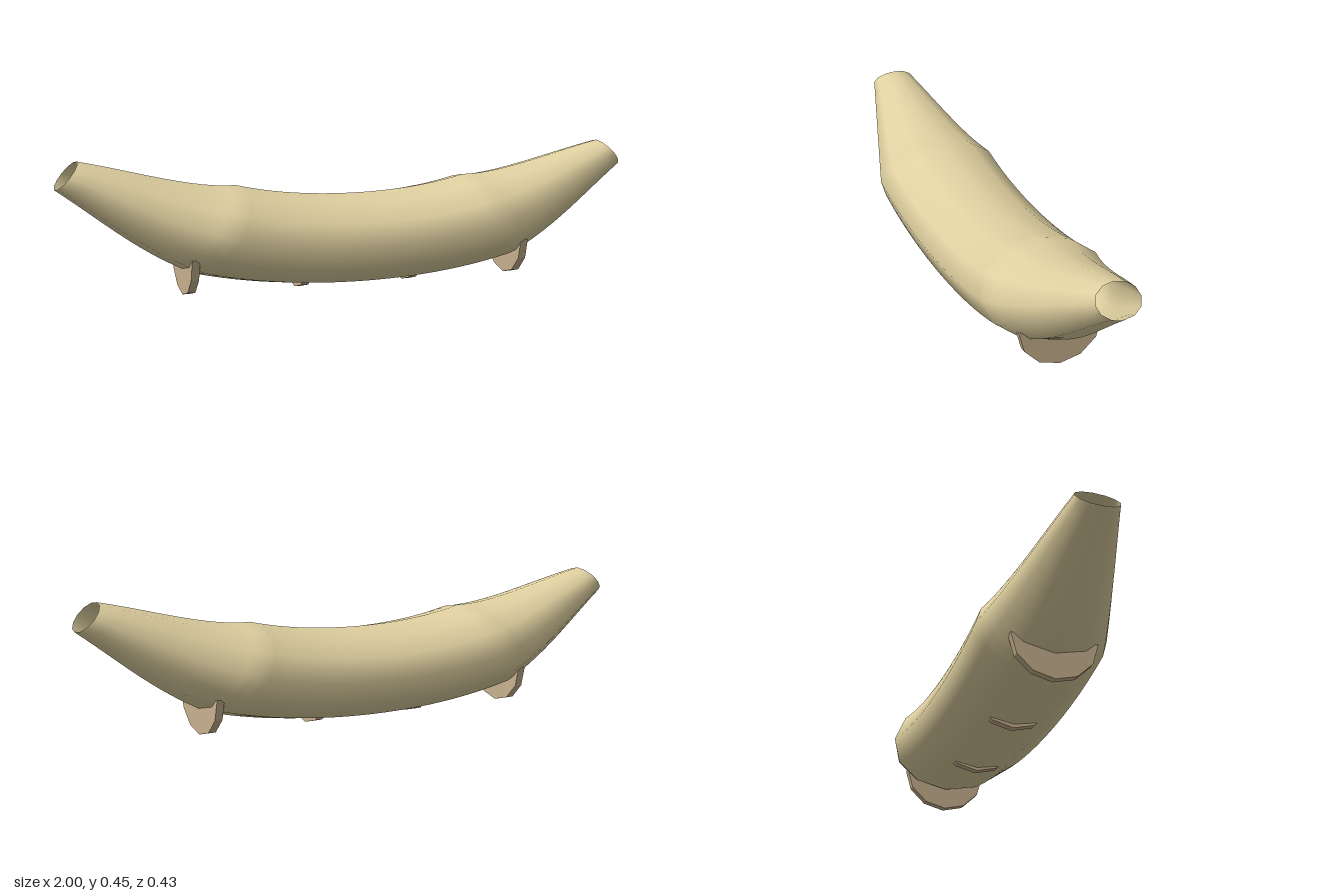
import * as THREE from 'three';

const SIDES = 12;
const STEPS = 48;
const FLATTEN = 0.7; // the whole hull is squashed vertically
const MID_Y = 0.157;

// Open curved tube: constant radius in the middle, tapering to both ends
function hullGeometry() {
  const spine = new THREE.CatmullRomCurve3([
    [-0.963, 0.361], [-0.48, 0.077], [0, 0], [0.48, 0.077], [0.963, 0.361],
  ].map(([x, y]) => new THREE.Vector3(x, y, 0)));
  const positions = [];
  const index = [];
  for (let i = 0; i <= STEPS; i++) {
    const c = spine.getPoint(i / STEPS);
    const t = spine.getTangent(i / STEPS);
    const taper = Math.max(0, (Math.abs(c.x) - 0.48) / 0.483);
    const r = THREE.MathUtils.lerp(0.217, 0.073, taper);
    for (let j = 0; j < SIDES; j++) {
      const a = (j / SIDES) * Math.PI * 2;
      const up = r * Math.cos(a);
      positions.push(c.x - t.y * up, MID_Y + FLATTEN * (c.y + t.x * up), r * Math.sin(a));
      if (i < STEPS) {
        const p = i * SIDES + j;
        const q = i * SIDES + ((j + 1) % SIDES);
        index.push(p, q, p + SIDES, q, q + SIDES, p + SIDES);
      }
    }
  }
  const geo = new THREE.BufferGeometry();
  geo.setAttribute('position', new THREE.Float32BufferAttribute(positions, 3));
  geo.setIndex(index);
  geo.computeVertexNormals();
  return geo;
}

// Half disc standing across the hull, its flat top buried inside
function ribGeometry() {
  const shape = new THREE.Shape();
  for (let k = 0; k <= 6; k++) {
    const a = Math.PI + (k / 6) * Math.PI;
    const x = 0.142 * Math.cos(a);
    const y = 0.136 + 0.136 * Math.sin(a);
    if (k === 0) shape.moveTo(x, y);
    else shape.lineTo(x, y);
  }
  const depth = 0.026;
  const geo = new THREE.ExtrudeGeometry(shape, { depth, bevelEnabled: false });
  geo.translate(0, 0, -depth / 2);
  geo.rotateY(Math.PI / 2);
  return geo;
}

export function createModel() {
  const group = new THREE.Group();
  group.name = 'curvedHull';

  const hull = new THREE.Mesh(hullGeometry(),
    new THREE.MeshStandardMaterial({ color: 0xdfd0a0, side: THREE.DoubleSide }));
  hull.name = 'hull';
  group.add(hull);

  // Four evenly spaced supports
  const ribGeo = ribGeometry();
  const ribMat = new THREE.MeshStandardMaterial({ color: 0xc8b18e });
  const names = ['rightOuterRib', 'rightInnerRib', 'leftInnerRib', 'leftOuterRib'];
  names.forEach((name, i) => {
    const rib = new THREE.Mesh(ribGeo, ribMat);
    rib.name = name;
    rib.position.x = (i - 1.5) * 0.386;
    group.add(rib);
  });
  return group;
}
